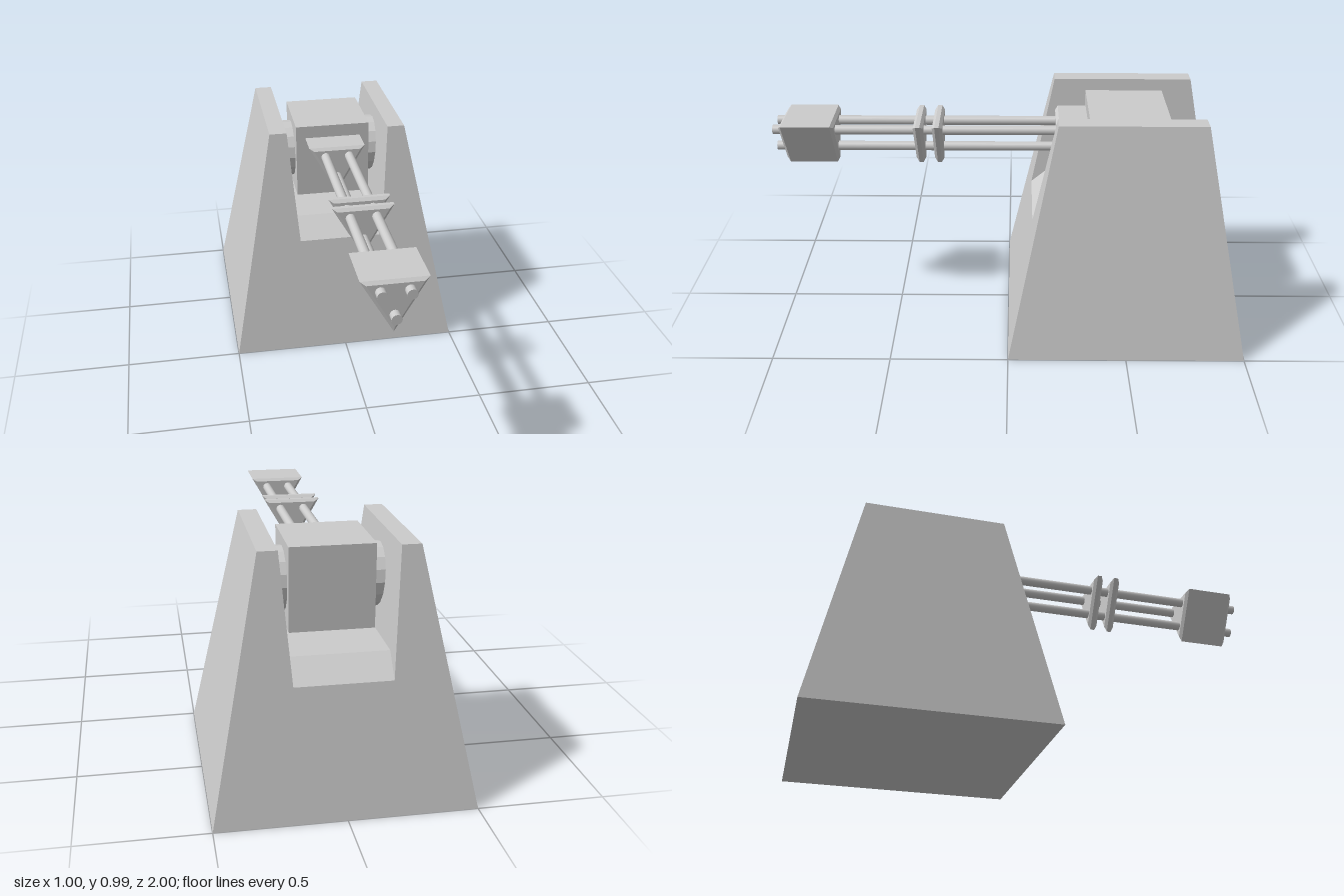
import * as THREE from 'three';

const flat = new THREE.MeshStandardMaterial({ color: 0xcccccc, flatShading: true });
const smooth = new THREE.MeshStandardMaterial({ color: 0xcccccc });

const BASE_Z = -0.5;     // centre of the pedestal and gun body
const AXIS_Y = 0.833;    // centre line of the barrel cluster
const TOP_Y = 0.99;

// Half depth of the tapering pedestal at a given height
const halfDepth = (y) => 0.5 - 0.2 * (y / TOP_Y);

function addMesh(parent, name, geometry, material, x = 0, y = 0, z = 0) {
  const mesh = new THREE.Mesh(geometry, material);
  mesh.name = name;
  mesh.position.set(x, y, z);
  parent.add(mesh);
  return mesh;
}

// Front outline extruded, then tapered in depth with height
function taperedPrism(points) {
  const shape = new THREE.Shape(points.map(([x, y]) => new THREE.Vector2(x, y)));
  const geometry = new THREE.ExtrudeGeometry(shape, { depth: 2, bevelEnabled: false });
  geometry.translate(0, 0, -1);
  const p = geometry.attributes.position;
  for (let i = 0; i < p.count; i++) p.setZ(i, p.getZ(i) * halfDepth(p.getY(i)));
  geometry.computeVertexNormals();
  return geometry;
}

// Three-sided block along z with chamfered ends, one corner pointing down
function triangleBlock(length) {
  const r = 0.25 / Math.sqrt(3), bevel = 0.012, h = length / 2;
  const profile = [
    [0, -h], [r - 2 * bevel, -h], [r, -h + bevel],
    [r, h - bevel], [r - 2 * bevel, h], [0, h],
  ].map(([x, y]) => new THREE.Vector2(x, y));
  return new THREE.LatheGeometry(profile, 3).rotateX(Math.PI / 2);
}

export function createModel() {
  const model = new THREE.Group();
  model.name = 'turret';

  // Pedestal with a slot between two uprights
  const pedestal = new THREE.Group();
  pedestal.name = 'pedestal';
  pedestal.position.z = BASE_Z;
  model.add(pedestal);
  addMesh(pedestal, 'pedestalBody', taperedPrism([
    [-0.5, 0], [0.5, 0], [0.3, TOP_Y], [0.225, TOP_Y],
    [0.187, 0.505], [-0.187, 0.505], [-0.225, TOP_Y], [-0.3, TOP_Y],
  ]), flat);

  // Raised slot floor with sloping front and back edges
  const floor = new THREE.BoxGeometry(0.374, 0.08, 2);
  const p = floor.attributes.position;
  for (let i = 0; i < p.count; i++) {
    const top = p.getY(i) > 0;
    p.setX(i, Math.sign(p.getX(i)) * (top ? 0.193 : 0.187));
    p.setZ(i, p.getZ(i) * (top ? 0.3 : halfDepth(0.505)));
  }
  addMesh(pedestal, 'slotFloor', floor, flat, 0, 0.545, 0);

  // Gun body carried on a cross axle
  const gun = new THREE.Group();
  gun.name = 'gun';
  model.add(gun);
  addMesh(gun, 'gunBody', new THREE.BoxGeometry(0.333, 0.335, 0.333), flat, 0, 0.793, BASE_Z);
  const axle = new THREE.CylinderGeometry(0.128, 0.128, 0.45, 16).rotateZ(Math.PI / 2);
  addMesh(gun, 'axle', axle, flat, 0, 0.793, BASE_Z - 0.006);

  // Triangular breech, clamps and muzzle: [name, back z, front z]
  const blocks = [
    ['breech', -0.42, -0.2],
    ['rearClamp', 0.28, 0.322],
    ['frontClamp', 0.36, 0.402],
    ['muzzleBlock', 0.735, 0.965],
  ];
  for (const [name, back, front] of blocks) {
    addMesh(gun, name, triangleBlock(front - back), flat, 0, AXIS_Y, (back + front) / 2);
  }

  // Three barrels
  const barrel = new THREE.CylinderGeometry(0.02, 0.02, 1.3, 16).rotateX(Math.PI / 2);
  for (const [x, y] of [[-0.053, 0.864], [0.053, 0.864], [0, 0.767]]) {
    addMesh(gun, 'barrel', barrel, smooth, x, y, 0.35);
  }

  return model;
}
